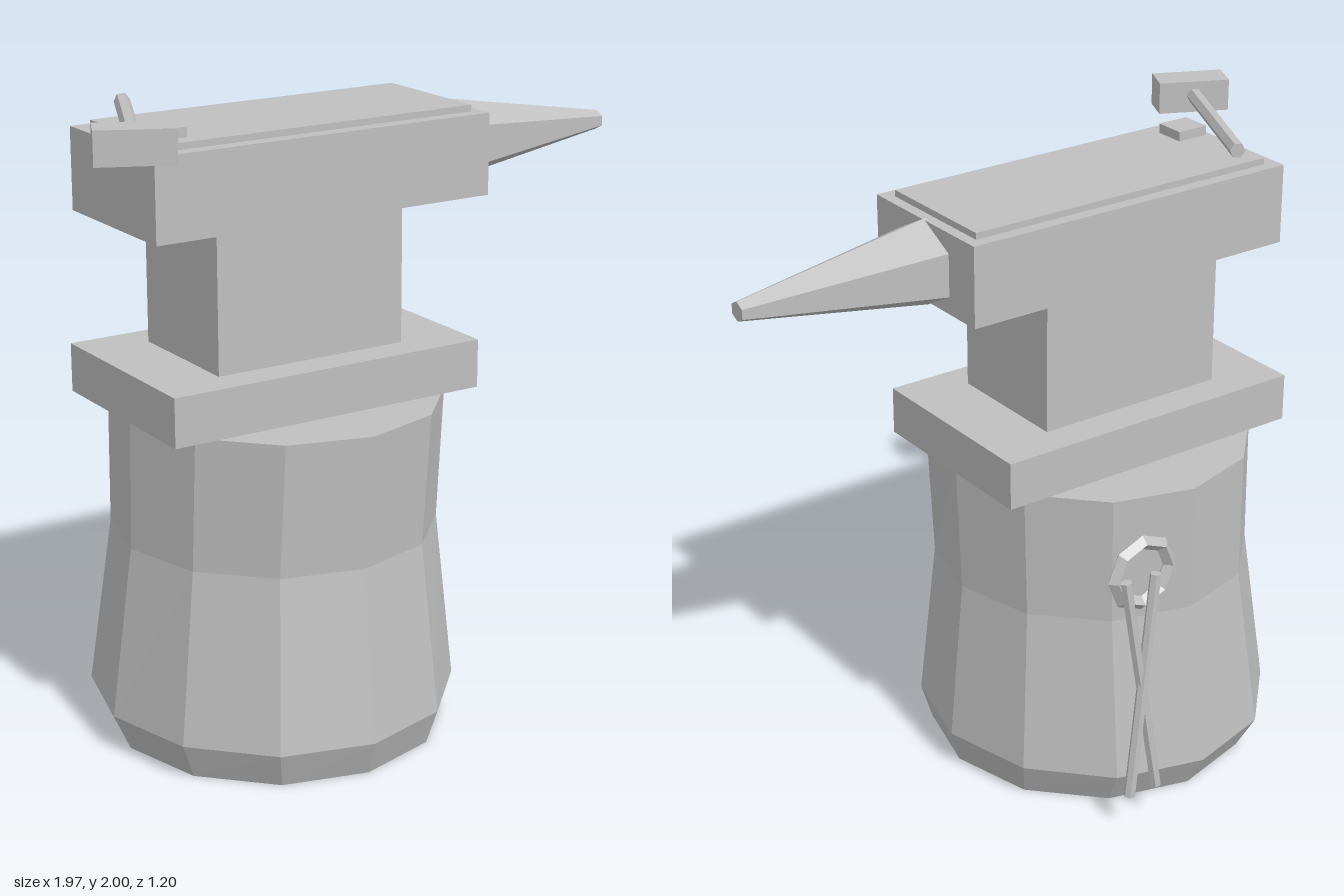
import * as THREE from 'three';

const steel = new THREE.MeshStandardMaterial({ color: 0xbfbfbf, flatShading: true });
steel.name = 'plain grey';

function add(parent, name, geometry) {
  const mesh = new THREE.Mesh(geometry, steel);
  mesh.name = name;
  parent.add(mesh);
  return mesh;
}

// Box given by its limits on each axis
function block(parent, name, [x0, x1], [y0, y1], [z0, z1]) {
  const mesh = add(parent, name, new THREE.BoxGeometry(x1 - x0, y1 - y0, z1 - z0));
  mesh.position.set((x0 + x1) / 2, (y0 + y1) / 2, (z0 + z1) / 2);
  return mesh;
}

// Straight rod between two points
function rod(parent, name, from, to, radius, sides) {
  const a = new THREE.Vector3(...from), b = new THREE.Vector3(...to);
  const mesh = add(parent, name, new THREE.CylinderGeometry(radius, radius, a.distanceTo(b), sides));
  mesh.position.copy(a).lerp(b, 0.5);
  mesh.quaternion.setFromUnitVectors(new THREE.Vector3(0, 1, 0), b.sub(a).normalize());
  return mesh;
}

// Twelve-sided stump, each ring having its own height, centre and radii
function stumpGeometry() {
  const rings = [
    { y: 1.065, cx: -0.228, rx: 0.503, cz: 0.03, rz: 0.53 },
    { y: 0.65, cx: -0.235, rx: 0.5, cz: 0.02, rz: 0.51 },
    { y: 0.12, cx: -0.247, rx: 0.562, cz: 0.02, rz: 0.585 },
    { y: 0.005, cx: -0.24, rx: 0.52, cz: 0.03, rz: 0.53 },
  ];
  const g = new THREE.CylinderGeometry(1, 1, 1, 12, 3);
  const p = g.attributes.position;
  for (let i = 0; i < p.count; i++) {
    const r = rings[Math.round((0.5 - p.getY(i)) * 3)];
    p.setXYZ(i, r.cx + p.getX(i) * r.rx, r.y, r.cz + p.getZ(i) * r.rz);
  }
  g.computeVertexNormals();
  return g;
}

export function createModel() {
  const model = new THREE.Group();
  model.name = 'anvilOnStump';

  add(model, 'stump', stumpGeometry());

  // Anvil
  const anvil = new THREE.Group();
  anvil.name = 'anvil';
  model.add(anvil);
  block(anvil, 'foot', [-0.755, 0.295], [1.065, 1.215], [-0.29, 0.345]);
  block(anvil, 'waist', [-0.55, 0.085], [1.215, 1.64], [-0.18, 0.24]);
  block(anvil, 'body', [-0.765, 0.37], [1.64, 1.89], [-0.225, 0.28]);
  block(anvil, 'facePlate', [-0.72, 0.335], [1.89, 1.91], [-0.23 + 0.045, 0.235]);
  block(anvil, 'hardySquare', [-0.71, -0.605], [1.91, 1.94], [0.08, 0.18]);

  // Tapered horn with a ridge along its top
  const horn = new THREE.CylinderGeometry(0.03, 0.135, 0.625, 6, 2);
  horn.rotateY(Math.PI / 2);
  horn.rotateZ(-Math.PI / 2);
  horn.scale(1, 1, 1.1);
  add(anvil, 'horn', horn).position.set(0.6725, 1.76, 0.03);

  // Hammer lying across the heel
  const hammer = new THREE.Group();
  hammer.name = 'hammer';
  model.add(hammer);
  const head = add(hammer, 'hammerHead', new THREE.BoxGeometry(0.226, 0.1, 0.107));
  head.position.set(-0.86, 1.95, 0.345);
  head.rotation.y = -0.434;
  rod(hammer, 'hammerHandle', [-0.85, 1.955, 0.325], [-0.614, 1.955, -0.185], 0.024, 6);

  // Tongs hanging behind the stump
  const tongs = new THREE.Group();
  tongs.name = 'tongs';
  model.add(tongs);
  add(tongs, 'ring', new THREE.TorusGeometry(0.103, 0.023, 4, 8)).position.set(-0.02, 0.855, -0.518);
  rod(tongs, 'tongArm', [-0.045, 0.86, -0.553], [0.06, 0.12, -0.583], 0.018, 6);
  rod(tongs, 'tongArm', [0.06, 0.86, -0.545], [-0.045, 0.12, -0.58], 0.018, 6);

  return model;
}
